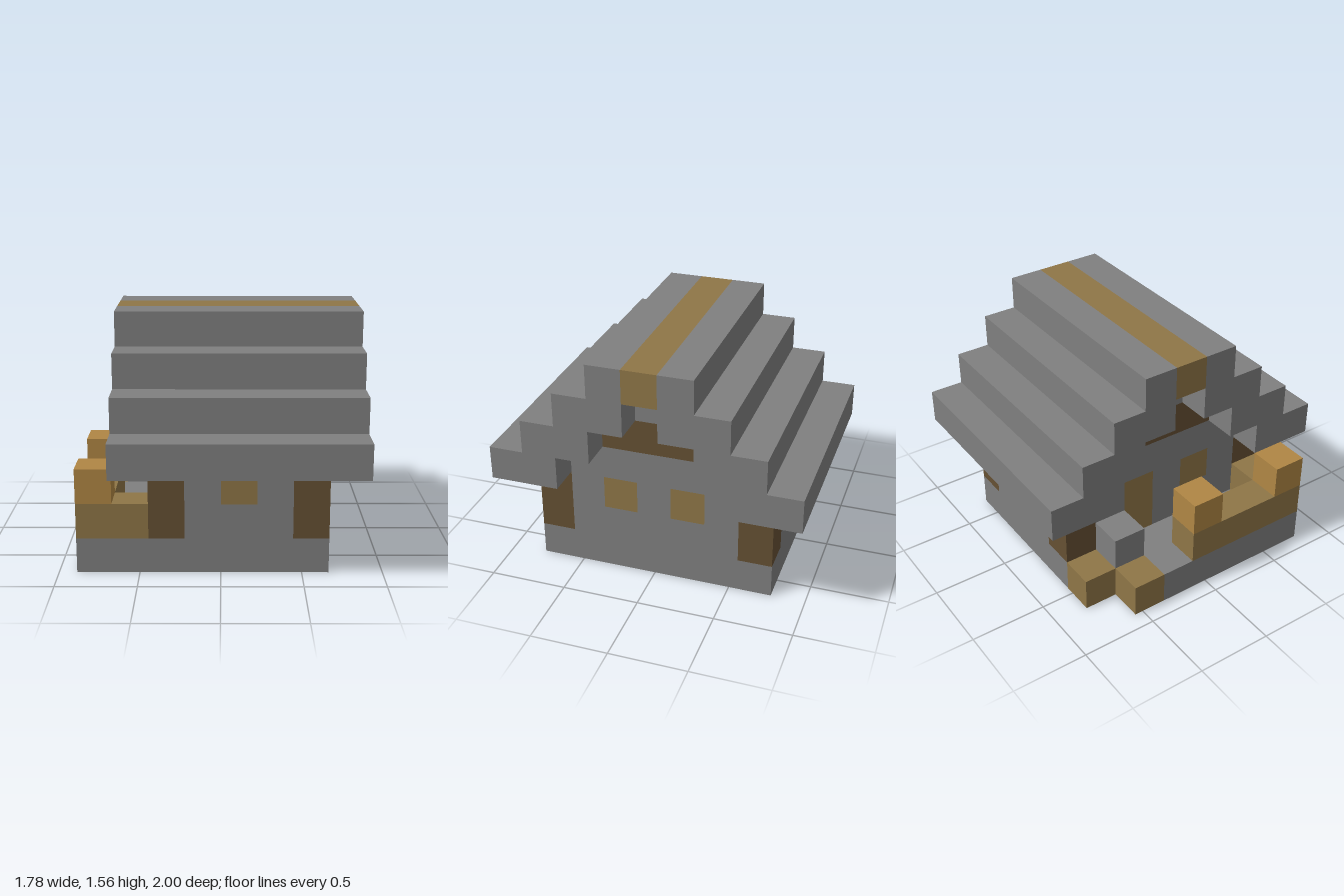
import * as THREE from 'three';

const U = 2 / 9; // edge of one building block

export function createModel() {
  const house = new THREE.Group();
  house.name = 'house';

  const mat = (name, color) => {
    const m = new THREE.MeshStandardMaterial({ color });
    m.name = name;
    return m;
  };
  const stone = mat('stone grey', 0x808080);
  const log = mat('dark log', 0x655033);
  const plank = mat('plank brown', 0x8f7647);
  const post = mat('light wood', 0xb08644);

  // Box covering whole grid cells: inclusive index ranges on each axis
  function block(name, material, [x0, x1 = x0], [y0, y1 = y0], [z0, z1 = z0]) {
    const w = x1 - x0 + 1, h = y1 - y0 + 1, d = z1 - z0 + 1;
    const mesh = new THREE.Mesh(new THREE.BoxGeometry(w * U, h * U, d * U), material);
    mesh.position.set((x0 + w / 2 - 4) * U, (y0 + h / 2) * U, (z0 + d / 2 - 4.5) * U);
    mesh.name = name;
    house.add(mesh);
  }

  // Foundation with a plank strip set into the floor
  block('foundationLeft', stone, [5, 6], [0], [1, 7]);
  block('foundationRight', stone, [2, 3], [0], [1, 7]);
  block('foundationBack', stone, [4], [0], [1, 2]);
  block('foundationFront', stone, [4], [0], [6, 7]);
  block('floorStrip', plank, [4], [0], [3, 5]);

  // Porch floor and its two corner steps
  block('porchFloorInner', stone, [1], [0], [2, 7]);
  block('porchFloorOuter', stone, [0], [0], [3, 7]);
  block('backStep', plank, [1], [0], [1]);
  block('sideStep', plank, [0], [0], [2]);
  block('porchBlock', stone, [1], [1], [2]);

  // Porch railing with raised posts
  block('sideRail', plank, [0], [1], [4, 7]);
  block('frontRail', plank, [1], [1], [7]);
  for (const z of [4, 7]) block('railPost', post, [0], [2], [z]);

  // Corner logs
  for (const x of [2, 6]) for (const z of [1, 7]) block('cornerLog', log, [x], [1, 2], [z]);

  // Front and back walls, each with a central window
  for (const z of [1, 7]) {
    block('longWallSill', stone, [3, 5], [1], [z]);
    for (const x of [3, 5]) block('longWallPier', stone, [x], [2], [z]);
    block('longWallWindow', plank, [4], [2], [z]);
  }

  // End walls with two openings each and a stepped gable
  for (const x of [2, 6]) {
    const hasDoor = x === 2;
    block('endWallSill', stone, [x], [1], [4, 6]);
    block('endWallCorner', stone, [x], [1], [2]);
    block(hasDoor ? 'door' : 'endWallSillBack', hasDoor ? plank : stone, [x], [1], [3]);
    for (const z of [2, 4, 6]) block('endWallPier', stone, [x], [2], [z]);
    block(hasDoor ? 'doorTop' : 'endWindow', plank, [x], [2], [3]);
    block('endWindow', plank, [x], [2], [5]);
    block('gableWall', stone, [x], [3], [2, 6]);
    block('gableBeam', log, [x], [4], [3, 5]);
    block('gablePeak', stone, [x], [5], [4]);
  }

  // Stepped roof, mirrored front to back
  for (let i = 0; i < 3; i++) {
    block('roofStepBack', stone, [1, 7], [3 + i], [i, i + 1]);
    block('roofStepFront', stone, [1, 7], [3 + i], [7 - i, 8 - i]);
  }
  for (const z of [3, 5]) block('roofTop', stone, [1, 7], [6], [z]);
  block('ridgeBeam', plank, [1, 7], [6], [4]);

  return house;
}
